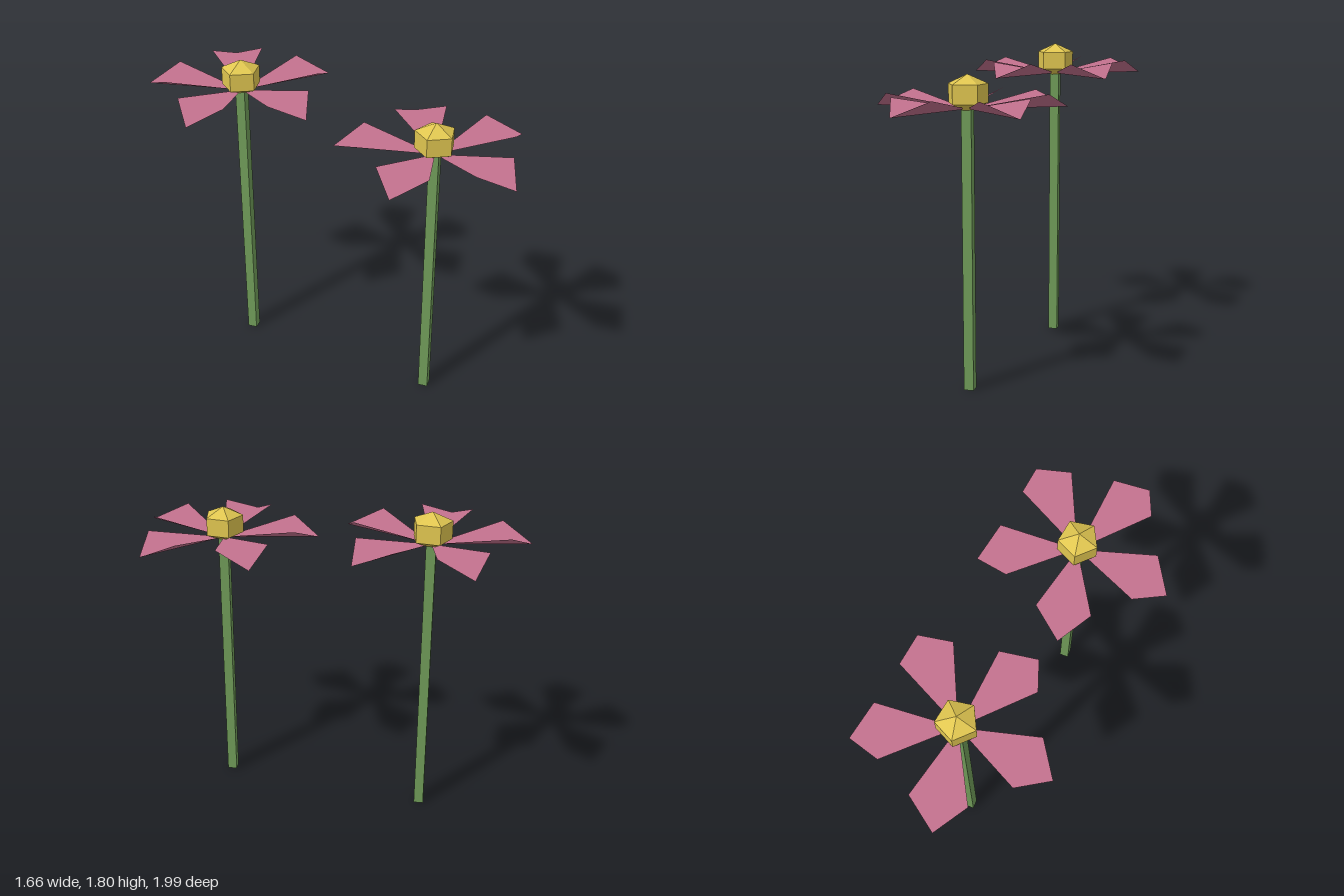
import * as THREE from 'three';

const stemGreen = new THREE.MeshStandardMaterial({ color: 0x6f9a58 });
stemGreen.name = 'stemGreen';
stemGreen.flatShading = true;
const petalPink = new THREE.MeshStandardMaterial({ color: 0xc4728f, side: THREE.DoubleSide });
petalPink.name = 'petalPink';
const centreYellow = new THREE.MeshStandardMaterial({ color: 0xe0c650 });
centreYellow.name = 'centreYellow';
centreYellow.flatShading = true;

// Petal along +x: folded along its midline, with both side corners raised
function petalGeometry() {
  const geo = new THREE.BufferGeometry();
  const points = [0, 0, 0, 0.396, 0.08, 0.145, 0.536, 0, 0, 0.396, 0.08, -0.145];
  const normals = [0, 1, 0, 0, 1, 0, 0, 1, 0, 0, 1, 0]; // soft shading over the fold
  geo.setAttribute('position', new THREE.Float32BufferAttribute(points, 3));
  geo.setAttribute('normal', new THREE.Float32BufferAttribute(normals, 3));
  geo.setIndex([0, 1, 2, 0, 2, 3]);
  return geo;
}

// Five-sided centre: a short prism with a point above and below
function centreGeometry() {
  const profile = [[0, -0.02], [0.11, 0.03], [0.11, 0.13], [0, 0.18]];
  const geo = new THREE.LatheGeometry(profile.map(([r, y]) => new THREE.Vector2(r, y)), 5);
  return geo.rotateY(Math.PI / 2); // one corner towards +x
}

function makeFlower(name, height) {
  const flower = new THREE.Group();
  flower.name = name;
  const add = (partName, geo, material, y) => {
    const mesh = new THREE.Mesh(geo, material);
    mesh.name = partName;
    mesh.position.y = y;
    flower.add(mesh);
    return mesh;
  };

  // Square stem with a corner to the front
  add('stem', new THREE.CylinderGeometry(0.038, 0.038, height, 4), stemGreen, height / 2);
  add('flowerCentre', centreGeometry(), centreYellow, height);

  // Ring of petals
  const petal = petalGeometry();
  for (let i = 0; i < 5; i++) {
    add(`petal${i + 1}`, petal, petalPink, height).rotation.y = (i * Math.PI * 2) / 5;
  }
  return flower;
}

export function createModel() {
  const model = new THREE.Group();
  model.name = 'flowers';
  const tall = makeFlower('tallFlower', 1.62);
  tall.position.set(-0.396, 0, -0.487);
  const short = makeFlower('shortFlower', 1.52);
  short.position.set(0.291, 0, 0.483);
  model.add(tall, short);
  return model;
}
